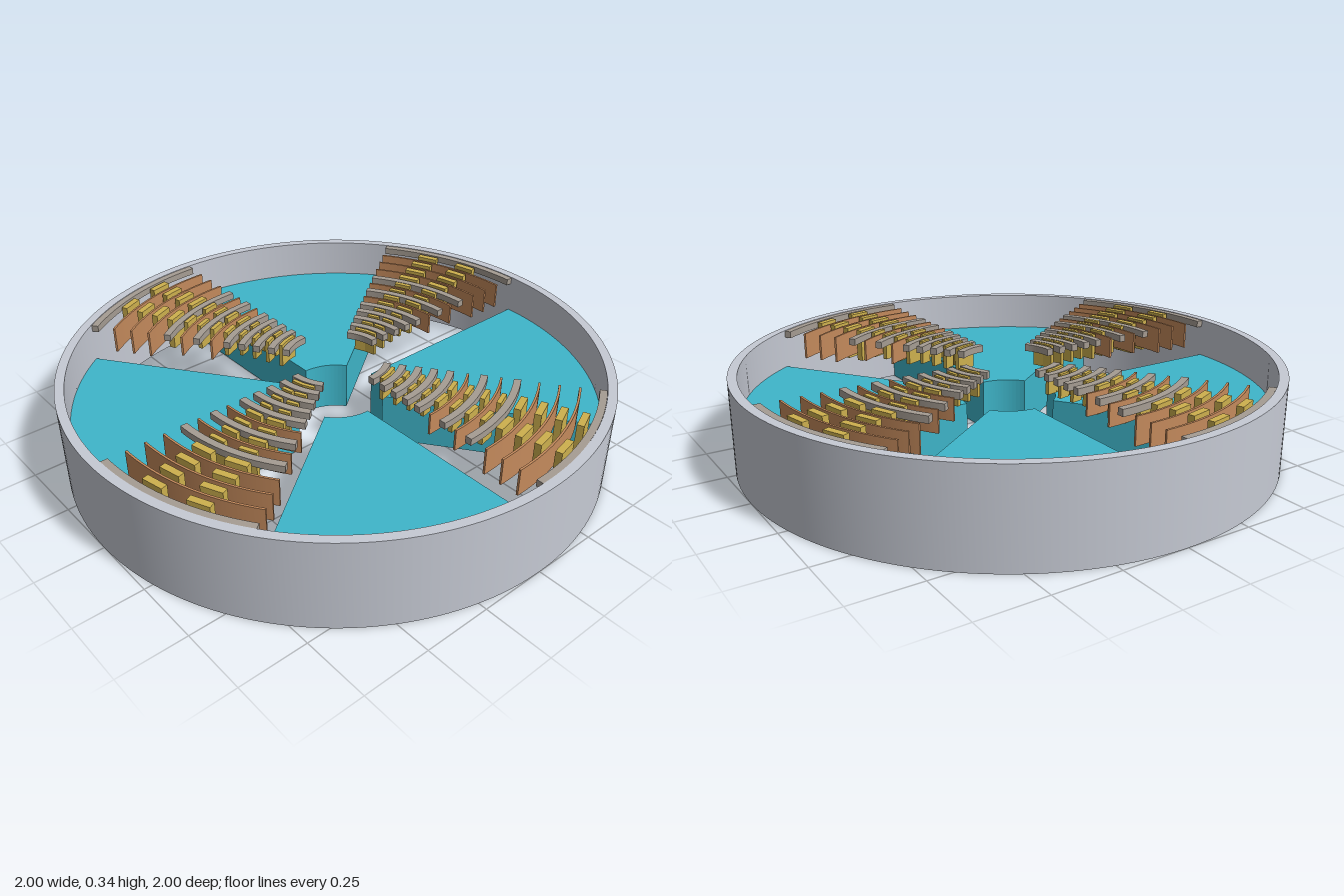
import * as THREE from 'three';
import { toCreasedNormals } from 'three/addons/utils/BufferGeometryUtils.js';

const mat = (name, color) => Object.assign(new THREE.MeshStandardMaterial({ color }), { name });
const DEG = Math.PI / 180;

// Extrudes a plan shape upward from height y0 to y1
function rise(shape, y0, y1, curveSegments) {
  const g = new THREE.ExtrudeGeometry(shape, { depth: y1 - y0, bevelEnabled: false, curveSegments });
  g.rotateX(-Math.PI / 2).translate(0, y0, 0);
  return toCreasedNormals(g, 0.5);
}

// Curved bar between two radii and two angles (degrees)
function arcBand(r0, r1, a0, a1, y0, y1, segments = 24) {
  const s = new THREE.Shape();
  s.absarc(0, 0, r1, a0 * DEG, a1 * DEG, false);
  s.absarc(0, 0, r0, a1 * DEG, a0 * DEG, true);
  s.closePath();
  return rise(s, y0, y1, segments);
}

export function createModel() {
  const model = new THREE.Group();
  const steel = mat('light steel', 0xc6cad4);
  const teal = mat('teal', 0x3fb6ca);
  const stone = mat('warm grey', 0xa69d93);
  const copper = mat('copper', 0xc48a5c);
  const brass = mat('brass', 0xcdb04e);

  const add = (parent, name, geometry, material) => {
    const m = new THREE.Mesh(geometry, material);
    m.name = name;
    parent.add(m);
    return m;
  };

  // Outer ring wall
  const rim = new THREE.Shape().absarc(0, 0, 1, 0, Math.PI * 2, false);
  rim.holes.push(new THREE.Path().absarc(0, 0, 0.966, 0, Math.PI * 2, true));
  add(model, 'outerRing', rise(rim, 0, 0.34, 96), steel);

  // Shared geometry for one quarter: a solid wedge and a 36 degree open bay
  const wedge = arcBand(0.177, 0.966, 36, 90, 0, 0.19, 32);
  const thickBars = [0.19, 0.247, 0.305, 0.362, 0.42, 0.54, 0.657, 0.952]
    .map(r => arcBand(r - 0.013, r + 0.013, 0, 36, 0.312, 0.338));
  const thinStrips = [0.482, 0.6, 0.733, 0.803, 0.873]
    .map(r => arcBand(r - 0.004, r + 0.004, 0, 36, r > 0.7 ? 0.235 : 0.255, 0.336));

  // Brass blocks between bars: [radius, radial depth, length, bottom height]
  const blocks = [
    ...[0.218, 0.276, 0.334, 0.391].map(r => [r, 0.014, 0.045, 0.25]),
    ...[0.451, 0.511, 0.57, 0.629].map(r => [r, 0.017, 0.065, 0.24]),
    ...[0.697, 0.768, 0.838, 0.911].map(r => [r, 0.025, 0.083, 0.215]),
  ];

  for (let q = 0; q < 4; q++) {
    const quarter = new THREE.Group();
    quarter.name = 'quarter' + (q + 1);
    quarter.rotation.y = q * Math.PI / 2;
    model.add(quarter);

    add(quarter, 'wedge', wedge, teal);
    thickBars.forEach(g => add(quarter, 'thickBar', g, stone));
    thinStrips.forEach(g => add(quarter, 'thinStrip', g, copper));

    for (const [r, depth, length, bottom] of blocks) {
      const g = new THREE.BoxGeometry(depth, 0.34 - bottom, length);
      for (const a of [12.5, 23.5]) {
        const b = add(quarter, 'brassBlock', g, brass);
        b.position.set(r * Math.cos(a * DEG), (0.34 + bottom) / 2, -r * Math.sin(a * DEG));
        b.rotation.y = a * DEG;
      }
    }
  }
  return model;
}
